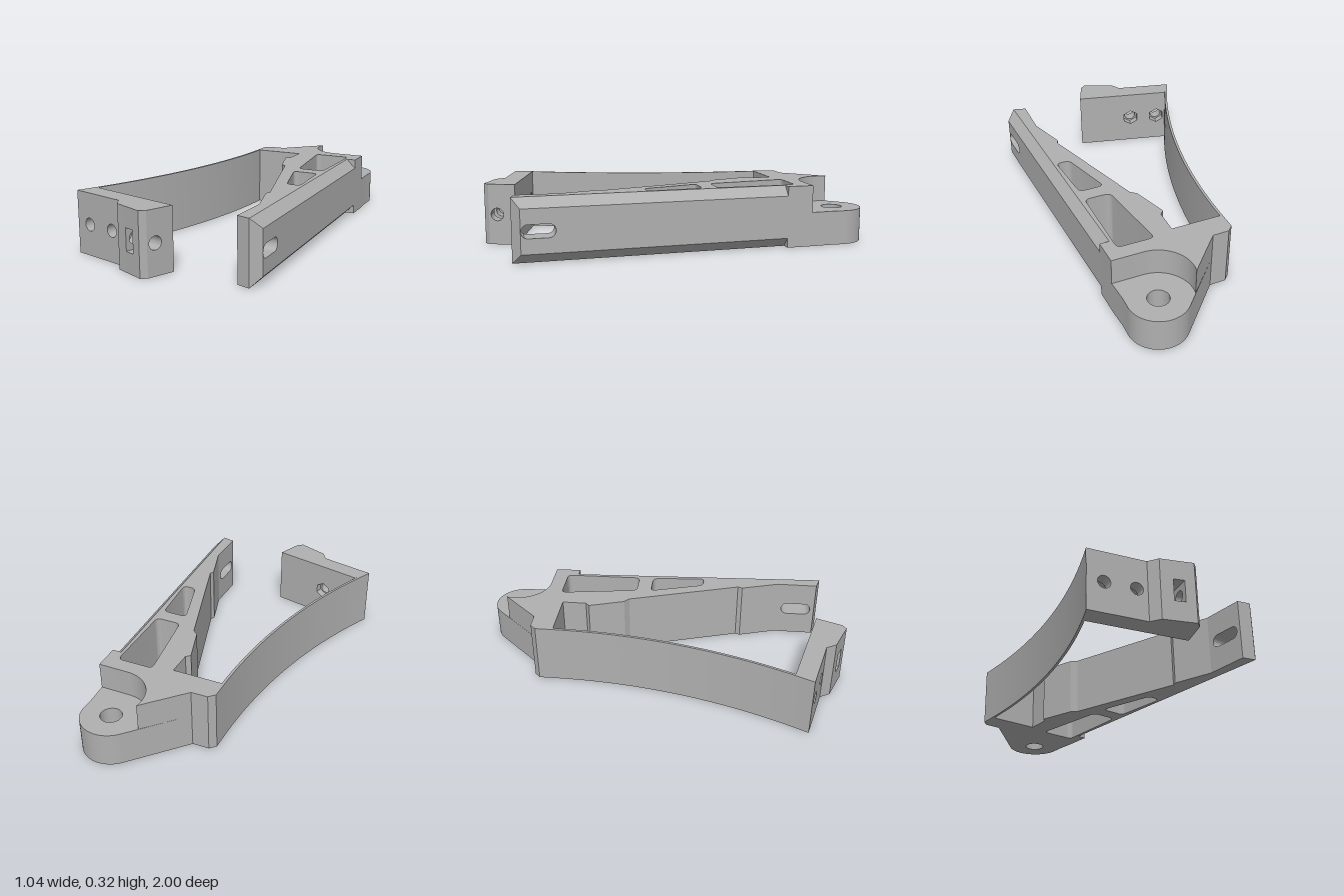
import * as THREE from 'three';
import { toCreasedNormals } from 'three/addons/utils/BufferGeometryUtils.js';

const H = 0.322, MID = H / 2, LUG = 0.18;
const grey = new THREE.MeshStandardMaterial({ color: 0xb0b0b0 });
grey.name = 'grey plastic';

const V = (x, y) => new THREE.Vector2(x, y);
const plan = pts => pts.map(([x, z]) => V(x, -z)); // plan (x, z) to shape coordinates

function mesh(name, geo) {
  const m = new THREE.Mesh(toCreasedNormals(geo, 0.5), grey);
  m.name = name;
  return m;
}

function extrude(shape, depth) {
  return new THREE.ExtrudeGeometry(shape, { depth, bevelEnabled: false, curveSegments: 20 });
}

// Move every vertex by a rule (x, y, z) => [x, y, z]
function warp(geo, rule) {
  const p = geo.attributes.position;
  for (let i = 0; i < p.count; i++) p.setXYZ(i, ...rule(p.getX(i), p.getY(i), p.getZ(i)));
  return geo;
}

// Extrude a plan shape upwards from y0 to y1
function upright(shape, y0, y1) {
  return extrude(shape, y1 - y0).rotateX(-Math.PI / 2).translate(0, y0, 0);
}

function circle(x, y, r) {
  return new THREE.Path().absarc(x, y, r, 0, Math.PI * 2, true);
}

function hexagon(x, y, r) {
  const pts = [];
  for (let i = 0; i < 6; i++) {
    const a = Math.PI / 2 - i * Math.PI / 3;
    pts.push(V(x + r * Math.cos(a), y + r * Math.sin(a)));
  }
  return new THREE.Path(pts);
}

function roundedPath(pts, r) {
  const path = new THREE.Path(), n = pts.length;
  pts.forEach((p, i) => {
    const toward = q => p.clone().add(q.clone().sub(p).setLength(r));
    const a = toward(pts[(i + n - 1) % n]), b = toward(pts[(i + 1) % n]);
    if (i) path.lineTo(a.x, a.y); else path.moveTo(a.x, a.y);
    path.quadraticCurveTo(p.x, p.y, b.x, b.y);
  });
  path.closePath();
  return path;
}

function rect(x0, y0, x1, y1) {
  return new THREE.Shape([V(x0, y0), V(x1, y0), V(x1, y1), V(x0, y1)]);
}

// Outer and inner edge of the chamfered rail
const railOut = z => 0.447 + 0.07 * (z + 0.53) / 1.37;
const railIn = z => railOut(z) - 0.05;

// Bracket web; the lower layer carries the lug, the upper is scooped out around it
function web(isLower) {
  const s = new THREE.Shape();
  s.moveTo(0.442, 0.668);
  if (isLower) {
    s.lineTo(0.433, 0.78);
    s.absarc(0.278, 0.846, 0.155, 0, 2.425, false);
  } else {
    s.lineTo(0.278, 0.668);
    s.absarc(0.278, 0.846, 0.178, -Math.PI / 2, -Math.PI - 0.22, true);
  }
  plan([
    [-0.082, -0.687], [-0.17, -0.685], [-0.2, -0.655], [-0.2, -0.56], [0.08, -0.56],
    [0.08, -0.43], [0.058, -0.41], [0.12, -0.22], [0.15, -0.195], [0.345, 0.41],
    [0.335, 0.435], [0.4, 0.64], [railIn(0.64), 0.64], [railIn(-0.53), -0.53], [0.447, -0.53]
  ]).forEach(p => s.lineTo(p.x, p.y));
  s.holes.push(
    roundedPath(plan([[0.185, -0.588], [0.38, -0.588], [0.39, -0.165], [0.25, -0.165]]), 0.03),
    roundedPath(plan([[0.255, -0.085], [0.39, -0.085], [0.418, 0.21], [0.345, 0.21]]), 0.03));
  if (isLower) s.holes.push(circle(0.278, 0.846, 0.055));
  return isLower ? upright(s, 0, LUG) : upright(s, LUG, H);
}

// Plate facing sideways, with the adjusting slot near its front end
function slottedPlate(zBack) {
  const s = rect(-0.88, 0, -zBack, H), r = 0.034;
  const slot = new THREE.Path();
  slot.absarc(-0.704, MID, r, Math.PI / 2, -Math.PI / 2, true);
  slot.absarc(-0.804, MID, r, -Math.PI / 2, -Math.PI * 1.5, true);
  slot.closePath();
  s.holes.push(slot);
  return extrude(s, 1).rotateY(Math.PI / 2);
}

// Thin curved strap
function strap() {
  const outer = [], inner = [], R = 3.05, n = 32;
  for (let i = 0; i <= n; i++) {
    const d = 1.36 * i / n, x = -0.2 - (R - Math.sqrt(R * R - d * d));
    outer.push([x, d - 0.56]);
    inner.unshift([x + 0.014, d - 0.56]);
  }
  return upright(new THREE.Shape(plan([...outer, ...inner])), 0, H);
}

// Clamp foot, in its own frame: x along the foot, z out of its front face
function foot() {
  const g = new THREE.Group();
  g.name = 'clampFoot';
  const uA = 0.275, thick = 0.102, seat = 0.04, bores = [0.0535, 0.218];
  const slant = w => (x, y, z) => [x < 1e-4 ? -0.034 * (z + w) / thick : x, y, z + w];

  // Flat half: hexagonal nut seats behind, round bores in front
  const back = rect(0, 0, uA, H), front = rect(0, 0, uA, H);
  bores.forEach(u => {
    back.holes.push(hexagon(u, MID, 0.047));
    front.holes.push(circle(u, MID, 0.033));
  });
  g.add(mesh('footNutSeats', warp(extrude(back, seat), slant(0))));
  g.add(mesh('footBores', warp(extrude(front, thick - seat), slant(seat))));

  // Thick half: slices along the foot whose front edge follows a profile
  const slice = (name, u0, u1, w0, w1, shape, lean = 0) => {
    const geo = extrude(shape, u1 - u0).rotateY(Math.PI / 2).translate(u0, 0, 0);
    g.add(mesh(name, warp(geo, (x, y, z) => {
      const end = x > (u0 + u1) / 2;
      const w = z > 0.19 ? (end ? w1 : w0) : z;
      return [end ? x - lean * w : x, y, w];
    })));
  };
  const solid = () => rect(-0.2, 0, 0, H);
  const bored = () => {
    const s = solid();
    s.holes.push(circle(-0.099, MID, 0.034));
    return s;
  };
  const pocket = new THREE.Shape([V(-0.2, 0), V(0, 0), V(0, H), V(-0.2, H),
    V(-0.2, 0.22), V(-0.04, 0.22), V(-0.04, 0.105), V(-0.2, 0.105)]);
  slice('footRamp', uA, 0.317, thick, 0.146, solid());
  slice('footBoreEnd', 0.317, 0.381, 0.146, 0.155, bored());
  slice('footNutPocket', 0.381, 0.437, 0.155, 0.163, pocket);
  slice('footScrewBore', 0.437, 0.488, 0.163, 0.171, bored());
  slice('footTip', 0.488, 0.533, 0.171, 0.144, bored(), 0.146);

  g.rotation.y = -0.2405;
  g.position.set(-0.463, 0, 0.713);
  return g;
}

export function createModel() {
  const model = new THREE.Group();
  model.name = 'bracket';
  model.add(mesh('lowerWebAndLug', web(true)), mesh('upperWeb', web(false)));

  // Chamfered rail along the left side
  const c = 0.05;
  model.add(mesh('rail', warp(slottedPlate(-0.53), (x, y, z) => x > 0.5
    ? [railOut(Math.min(z, 0.84)), THREE.MathUtils.clamp(y, c, H - c), Math.min(z, 0.84)]
    : [railIn(z), y, z])));

  // Solid arm end behind the rail
  model.add(mesh('armEnd', warp(slottedPlate(0.64), (x, y, z) => x > 0.5
    ? [railIn(z), y, z]
    : [0.4, y, Math.min(z, 0.86)])));

  model.add(mesh('strap', strap()), foot());
  return model;
}
